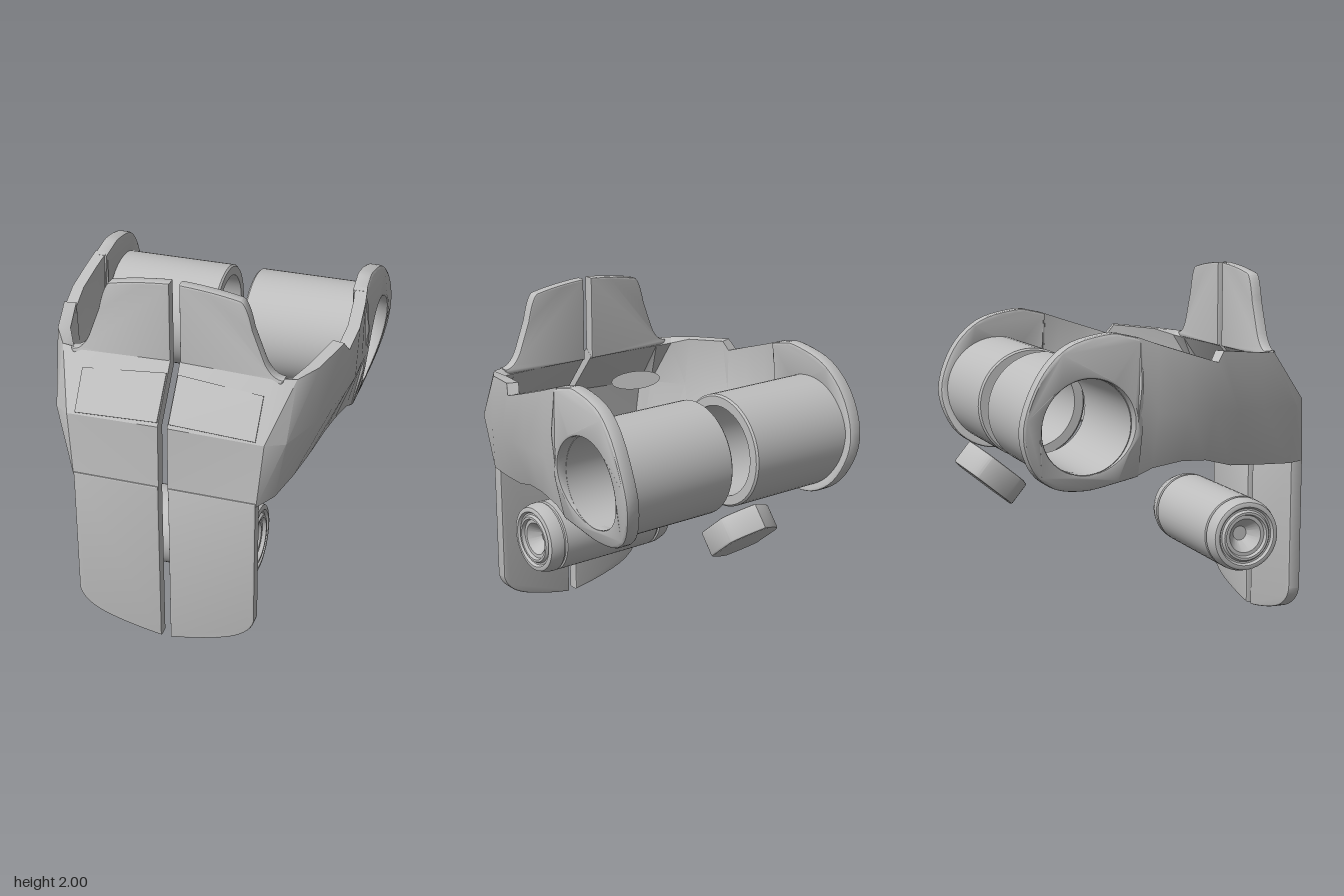
import * as THREE from 'three';
import { toCreasedNormals } from 'three/addons/utils/BufferGeometryUtils.js';

const V = (x, y, z) => new THREE.Vector3(x, y, z);
const V2 = (x, y) => new THREE.Vector2(x, y);

// Copy of a geometry reflected in x, with corner order restored
function mirrored(geo) {
  const g = (geo.index ? geo.toNonIndexed() : geo.clone()).scale(-1, 1, 1);
  for (const a of Object.values(g.attributes)) {
    const n = a.itemSize;
    for (let t = 0; t < a.count; t += 3) for (let k = 0; k < n; k++) {
      const p = (t + 1) * n + k, q = (t + 2) * n + k, s = a.array[p];
      a.array[p] = a.array[q];
      a.array[q] = s;
    }
  }
  return g;
}

// Flat plate with softly bevelled edges between z0 and z0 + depth
function plate(shape, z0, depth, bevel = 0.01) {
  const g = new THREE.ExtrudeGeometry(shape, {
    depth: depth - 2 * bevel, bevelEnabled: true, bevelThickness: bevel,
    bevelSize: bevel, bevelOffset: -bevel, bevelSegments: 2, curveSegments: 40,
  });
  return g.translate(0, 0, z0 + bevel);
}

// Outer corners (bottom, crease, top) of the shell from centre front back to the ring
const stations = [
  [V(.025, .94, .915), V(.025, 1.31, .91), V(.025, 1.58, .70)],
  [V(.49, .94, .915), V(.52, 1.29, .89), V(.50, 1.565, .70)],
  [V(.555, .945, .80), V(.61, 1.27, .81), V(.62, 1.56, .665)],
  [V(.60, .96, .60), V(.70, 1.28, .57), V(.70, 1.575, .54)],
  [V(.63, .975, .41), V(.745, 1.28, .40), V(.765, 1.60, .30)],
  [V(.665, 1.02, .25), V(.775, 1.29, .25), V(.785, 1.545, .26)],
  [V(.69, 1.03, .10), V(.79, 1.30, .10), V(.80, 1.595, .10)],
  [V(.71, 1.01, -.07), V(.785, 1.30, -.07), V(.787, 1.65, -.07)],
  [V(.725, .97, -.18), V(.788, 1.30, -.18), V(.772, 1.69, -.18)],
];

// Loft of constant thickness through the stations
function shellGeometry(thick) {
  const last = stations.length - 1, pos = [];
  const sections = stations.map((row, i) => {
    const inner = row.map((p, j) => {
      const along = stations[Math.min(i + 1, last)][j].clone().sub(stations[Math.max(i - 1, 0)][j]);
      const up = row[Math.min(j + 1, 2)].clone().sub(row[Math.max(j - 1, 0)]);
      return p.clone().addScaledVector(along.cross(up).normalize(), -thick);
    });
    return [...row, ...inner.reverse()];
  });
  const quad = (a, b, c, d) => [a, b, c, a, c, d].forEach(p => pos.push(p.x, p.y, p.z));
  for (let i = 0; i < last; i++) for (let k = 0; k < 6; k++) {
    const m = (k + 1) % 6, A = sections[i], B = sections[i + 1];
    quad(A[k], B[k], B[m], A[m]);
  }
  const s = sections[0], e = sections[last];
  quad(s[0], s[1], s[4], s[5]);
  quad(s[1], s[2], s[3], s[4]);
  quad(e[5], e[4], e[1], e[0]);
  quad(e[4], e[3], e[2], e[1]);
  const g = new THREE.BufferGeometry();
  g.setAttribute('position', new THREE.Float32BufferAttribute(pos, 3));
  return toCreasedNormals(g, 0.5);
}

// Thin raised panel lying on the sloping front face
function slopePanel() {
  const [[, a, d], [, b, c]] = stations;
  const at = (u, v) => a.clone().lerp(b, u).lerp(d.clone().lerp(c, u), v);
  const n = b.clone().sub(a).cross(d.clone().sub(a)).normalize();
  const low = [at(.01, .06), at(.91, .03), at(.94, .72), at(.01, .8)];
  const high = low.map(p => p.clone().addScaledVector(n, .009));
  const pos = [];
  const quad = (...q) => [0, 1, 2, 0, 2, 3].forEach(i => pos.push(q[i].x, q[i].y, q[i].z));
  quad(...high);
  for (let i = 0; i < 4; i++) {
    const j = (i + 1) % 4;
    quad(low[i], low[j], high[j], high[i]);
  }
  const g = new THREE.BufferGeometry();
  g.setAttribute('position', new THREE.Float32BufferAttribute(pos, 3));
  g.computeVertexNormals();
  return g;
}

// Curved end of the arm with a round hole, leaning with height
function ringGeometry() {
  const outline = new THREE.SplineCurve([[.15, .973], [.26, .947], [.43, .915], [.6, .94], [.73, 1.05],
    [.788, 1.26], [.705, 1.5], [.55, 1.655], [.335, 1.712], [.23, 1.70], [.15, 1.68]].map(p => V2(...p)));
  const shape = new THREE.Shape([...outline.getPoints(50), V2(.15, 1.45), V2(.15, 1.2)]);
  shape.holes.push(new THREE.Path().absarc(.44, 1.25, .245, 0, Math.PI * 2, true));
  const g = plate(shape, -.08, .08, .015).rotateY(Math.PI / 2);
  const p = g.attributes.position;
  for (let i = 0; i < p.count; i++) {
    const d = p.getY(i) - 1.25;
    p.setX(i, p.getX(i) + .787 + .12 * d - .35 * d * d);
  }
  return toCreasedNormals(g, 0.6);
}

// Turned part with its axis along x; profile gives [radius, x]
function turned(profile) {
  const g = new THREE.LatheGeometry(profile.map(p => V2(...p)), 56);
  return toCreasedNormals(g.rotateZ(-Math.PI / 2), 0.5);
}

export function createModel() {
  const model = new THREE.Group();
  const grey = new THREE.MeshStandardMaterial({ color: 0xbebebe });
  grey.name = 'plain grey';
  const greyThin = grey;
  greyThin.side = THREE.DoubleSide;

  const add = (name, geo) => {
    const m = new THREE.Mesh(geo, grey);
    m.name = name;
    model.add(m);
    return m;
  };
  const addPair = (name, geo) => {
    add(name + 'Left', geo);
    add(name + 'Right', mirrored(geo));
  };

  // Lower front plates with rounded outer corners
  const lower = new THREE.Shape();
  lower.moveTo(.025, .003);
  lower.quadraticCurveTo(.2, .03, .33, .075);
  lower.quadraticCurveTo(.47, .125, .49, .22);
  lower.lineTo(.49, .96);
  lower.lineTo(.025, .96);
  addPair('frontPlate', toCreasedNormals(plate(lower, .85, .07), 0.5));

  // Upright flaps above the slope
  const flap = new THREE.Shape();
  flap.moveTo(.025, 1.53);
  flap.lineTo(.55, 1.53);
  flap.lineTo(.56, 1.562);
  flap.quadraticCurveTo(.5, 1.56, .46, 1.65);
  flap.lineTo(.40, 1.81);
  flap.quadraticCurveTo(.37, 1.95, .335, 1.96);
  flap.quadraticCurveTo(.2, 1.99, .025, 2);
  addPair('topFlap', toCreasedNormals(plate(flap, .64, .063), 0.5));

  // Wrapping shell, sloped panels and arm rings
  addPair('sideArm', shellGeometry(.065));
  addPair('slopePanel', slopePanel());
  addPair('armRing', ringGeometry());

  // Open tubes between the rings
  addPair('tube', turned([[.245, .08], [.295, .08], [.305, .09], [.305, .71], [.245, .735], [.245, .08]])
    .translate(0, 1.25, -.445));

  // Roller behind the front plates: body and stepped end caps
  const half = [[.206, .325], [.196, .33], [.196, .34], [.206, .345], [.204, .38], [.19, .425], [.178, .43],
    [.165, .43], [.155, .415], [.145, .415], [.135, .43], [.122, .43], [.115, .41], [.095, .41], [.04, .34], [.001, .34]];
  const roller = [...half.map(([r, x]) => [r, -x]).reverse(), ...half];
  add('roller', turned(roller)).position.set(0, .524, .617);

  // Thin oval discs behind the slope
  for (const s of [1, -1]) {
    const disc = add(s > 0 ? 'ovalDiscLeft' : 'ovalDiscRight', new THREE.CircleGeometry(1, 40));
    disc.scale.set(.15, .052, 1);
    disc.position.set(s * .265, 1.38, .543);
    disc.rotation.set(.2, s * .285, 0, 'YXZ');
  }

  // Rounded six-sided block below the tubes
  const hex = new THREE.Shape();
  hex.moveTo(0, .205);
  hex.quadraticCurveTo(.15, .14, .16, .09);
  hex.lineTo(.16, -.09);
  hex.quadraticCurveTo(.15, -.14, 0, -.205);
  hex.quadraticCurveTo(-.15, -.14, -.16, -.09);
  hex.lineTo(-.16, .09);
  hex.quadraticCurveTo(-.15, .14, 0, .205);
  const block = add('rearBlock', toCreasedNormals(plate(hex, -.07, .14, .012), 0.5));
  block.position.set(0, .9, -.712);
  block.rotation.x = -.88;

  return model;
}
